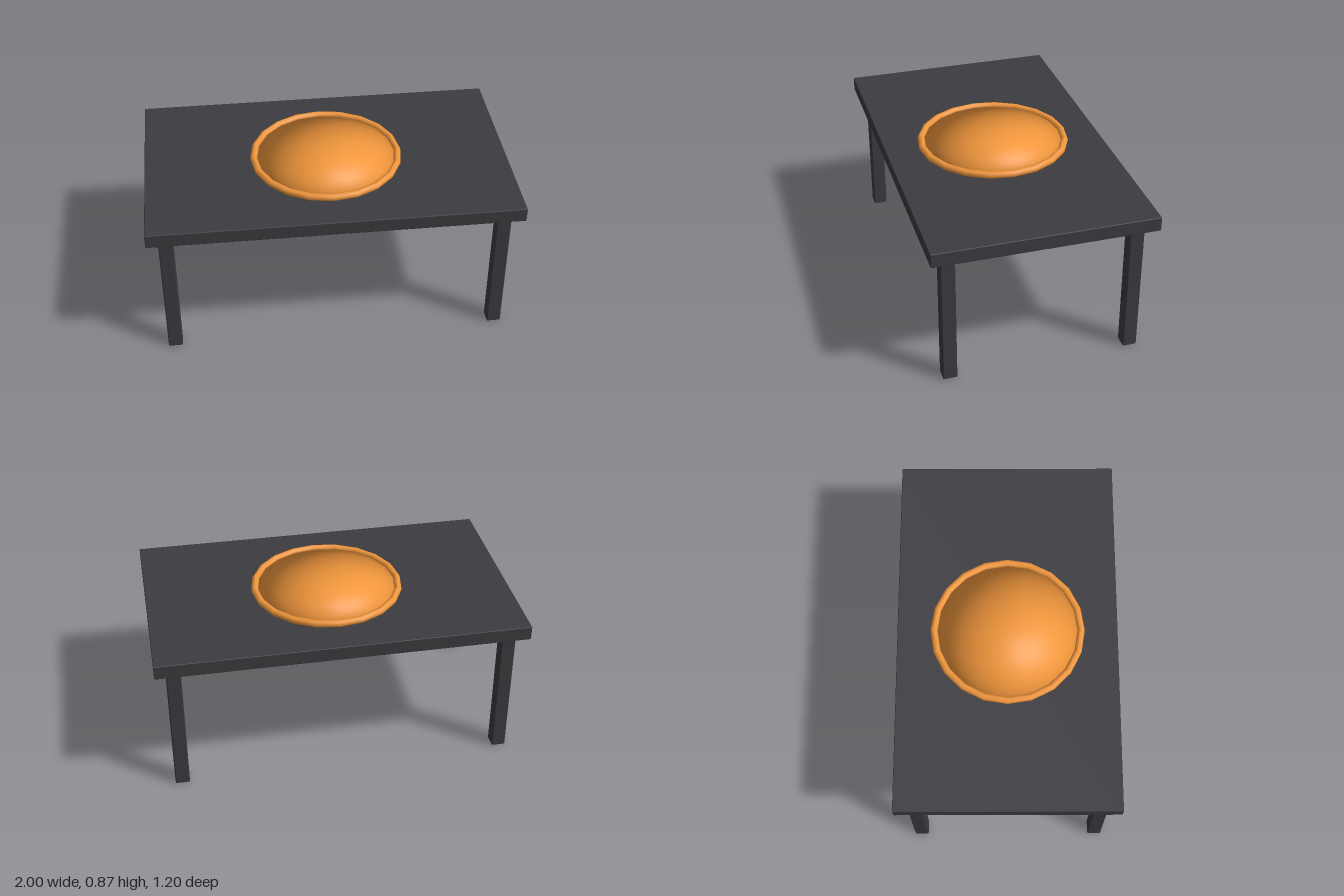
import * as THREE from 'three';
import { RoundedBoxGeometry } from 'three/addons/geometries/RoundedBoxGeometry.js';

export function createModel() {
  const table = new THREE.Group();
  table.name = 'table';
  const dark = new THREE.MeshStandardMaterial({ color: 0x3c3b40 });
  const orange = new THREE.MeshStandardMaterial({ color: 0xf0963c });

  const add = (name, geometry, material, x, y, z) => {
    const mesh = new THREE.Mesh(geometry, material);
    mesh.name = name;
    mesh.position.set(x, y, z);
    table.add(mesh);
    return mesh;
  };

  // Slab with slightly softened edges
  add('tabletop', new RoundedBoxGeometry(2, 0.078, 1.2, 1, 0.004), dark, 0, 0.801, 0);

  // Four square legs
  const legGeometry = new RoundedBoxGeometry(0.078, 0.77, 0.078, 1, 0.007);
  for (const [sx, side] of [[1, 'Left'], [-1, 'Right']]) {
    for (const [sz, end] of [[1, 'front'], [-1, 'back']]) {
      add(`${end}${side}Leg`, legGeometry, dark, sx * 0.9, 0.385, sz * 0.5);
    }
  }

  // Plate rim: a 20-sided ring resting in the top
  const rimGeometry = new THREE.TorusGeometry(0.4, 0.02, 8, 20);
  rimGeometry.rotateX(Math.PI / 2);
  add('plateRim', rimGeometry, orange, 0, 0.854, 0);

  // Plate centre: a dome pressed almost flat, keeping its rounded normals
  const plateGeometry = new THREE.SphereGeometry(0.385, 40, 12, 0, Math.PI * 2, 0, Math.PI / 2);
  const position = plateGeometry.attributes.position;
  for (let i = 0; i < position.count; i++) position.setY(i, position.getY(i) * 0.02);
  add('plateCentre', plateGeometry, orange, 0, 0.854, 0);

  return table;
}
